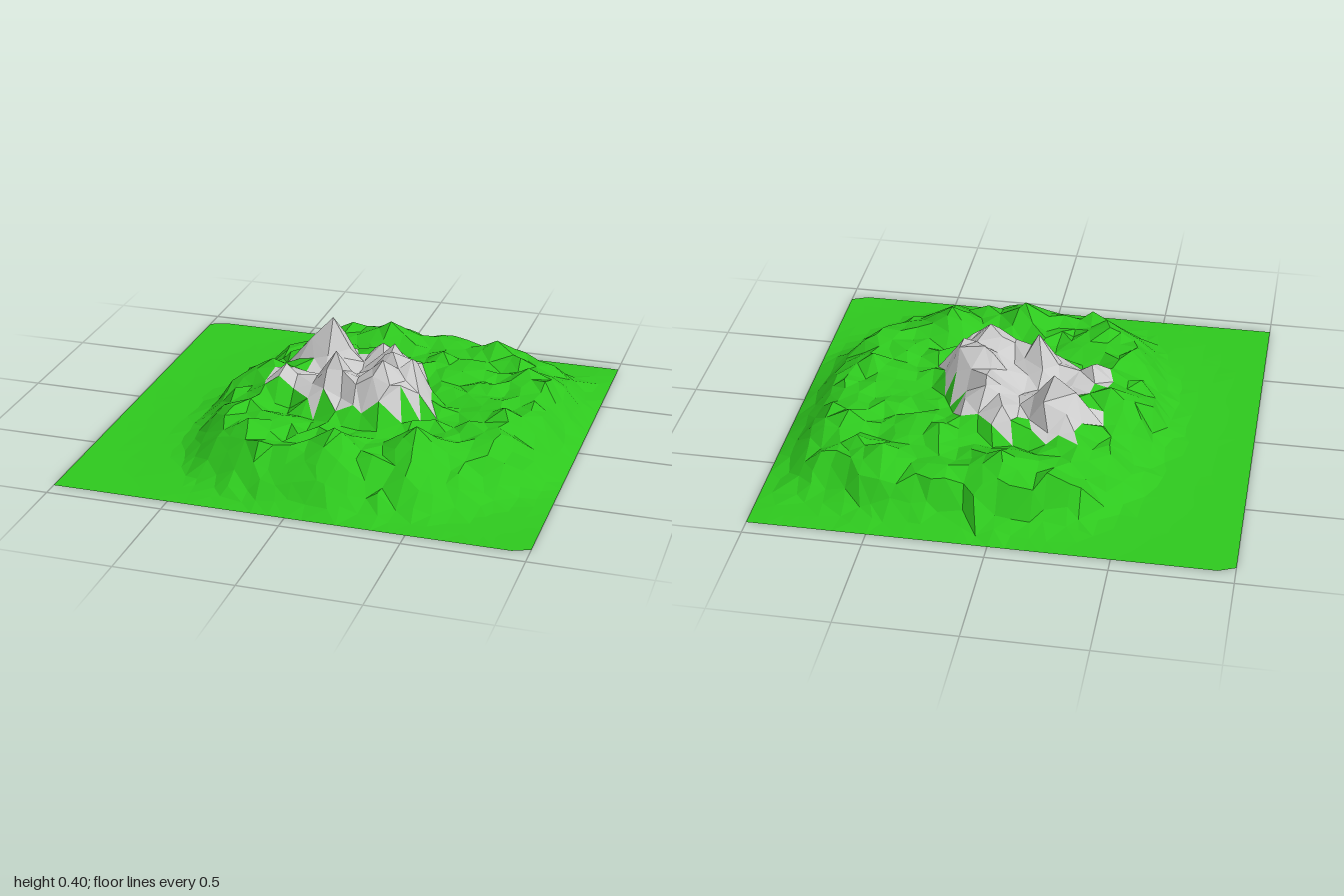
import * as THREE from 'three';

const NX = 28, NZ = 26, HALF_X = 1, HALF_Z = 0.93;

// foot of the hill, as x, z pairs
const foot = [[-0.68, 0], [-0.65, 0.4], [-0.53, 0.68], [-0.3, 0.85], [0.15, 0.92], [0.58, 0.82], [0.85, 0.56],
  [0.98, 0.3], [1, 0], [1, -0.4], [0.88, -0.74], [0.5, -0.86], [0, -0.88], [-0.38, -0.78], [-0.58, -0.5]];

// outline of the bare rock
const rock = [[-0.25, -0.4], [-0.1, -0.36], [-0.07, -0.26], [0, -0.25], [0, -0.37], [0.1, -0.37], [0.12, -0.28],
  [0.23, -0.27], [0.25, -0.15], [0.35, 0], [0.38, 0.12], [0.3, 0.22], [0.2, 0.29], [0, 0.27], [-0.16, 0.2],
  [-0.16, 0.1], [-0.32, 0.15], [-0.38, 0.05], [-0.28, -0.03], [-0.2, -0.05], [-0.23, -0.15], [-0.34, -0.18]];

// x, z, height, slope of the summits
const rockPeaks = [[-0.16, -0.23, 0.395, 1.4], [-0.04, 0.105, 0.385, 1.4], [0.18, 0.15, 0.388, 0.9],
  [0.28, 0.05, 0.365, 0.9], [0.18, 0, 0.365, 0.9], [0.14, -0.17, 0.33, 1], [-0.28, 0.06, 0.28, 0.6],
  [0.05, -0.3, 0.27, 0.6], [-0.25, -0.2, 0.3, 0.8]];
const rimPeaks = [[0.42, 0.48, 0.26, 0.7], [0.1, 0.58, 0.255, 0.7], [0, -0.6, 0.25, 0.6], [0.5, -0.59, 0.22, 0.6],
  [-0.38, -0.05, 0.245, 0.6], [0.7, 0.1, 0.215, 0.6], [0.7, -0.35, 0.21, 0.6], [-0.3, 0.5, 0.21, 0.6],
  [-0.2, -0.66, 0.2, 0.5], [0.25, -0.65, 0.2, 0.5], [0.3, -0.4, 0.22, 0.6]];

// repeatable value from -1 to 1
function noise(i, j, k) {
  const s = Math.sin(i * 127.1 + j * 311.7 + k * 74.7) * 43758.5453;
  return (s - Math.floor(s)) * 2 - 1;
}

// distance inward from an outline, negative outside
function depth(poly, x, z) {
  let best = Infinity, inside = false;
  poly.forEach(([ax, az], i) => {
    const [bx, bz] = poly[(i + 1) % poly.length];
    const dx = bx - ax, dz = bz - az;
    const t = THREE.MathUtils.clamp(((x - ax) * dx + (z - az) * dz) / (dx * dx + dz * dz), 0, 1);
    best = Math.min(best, Math.hypot(x - ax - t * dx, z - az - t * dz));
    if ((az > z) !== (bz > z) && x < ax + dx * (z - az) / dz) inside = !inside;
  });
  return inside ? best : -best;
}

// height of the ground by distance from the foot: skirt, flank, rim, hollow
const profile = [[-0.2, 0], [0, 0.01], [0.06, 0.04], [0.13, 0.1], [0.2, 0.165], [0.28, 0.17], [0.37, 0.155],
  [0.5, 0.16], [2, 0.19]];
function slope(d) {
  const k = profile.findIndex(([p]) => p > d);
  if (k === 0) return 0;
  const [d0, h0] = profile[k - 1], [d1, h1] = profile[k];
  return h0 + (h1 - h0) * (d - d0) / (d1 - d0);
}

const cones = (list, x, z) => Math.max(...list.map(([px, pz, h, s]) => h - s * Math.hypot(x - px, z - pz)));

// one jittered grid point of the landscape
function point(i, j) {
  let x = (i / NX * 2 - 1) * HALF_X, z = (j / NZ * 2 - 1) * HALF_Z;
  if (i === 0 || j === 0 || i === NX || j === NZ) {
    // the clipped corners are shallow in z
    if (i === 0 && j === 1) z = -0.9;
    if (i === NX && j === NZ - 1) z = 0.9;
    return new THREE.Vector3(x, 0, z);
  }
  // the grid point nearest a summit moves onto it
  const peak = [...rockPeaks, ...rimPeaks].find(([px, pz]) =>
    Math.abs(px - x) <= HALF_X / NX && Math.abs(pz - z) <= HALF_Z / NZ);
  if (peak) return new THREE.Vector3(peak[0], peak[2], peak[1]);

  x += noise(i, j, 1) * 0.02;
  z += noise(i, j, 2) * 0.02;
  const d = depth(foot, x, z);
  let y = slope(d);
  if (d > 0) y += noise(i, j, 3) * Math.min(0.026, d * 0.15);
  if (d > 0.1) y = Math.max(y, cones(rimPeaks, x, z));
  const r = depth(rock, x, z);
  if (r > -0.03) y = 0.2 + noise(i, j, 4) * 0.012;
  if (r > 0) y = Math.max(y, Math.min(cones(rockPeaks, x, z) + noise(i, j, 5) * 0.015, 0.21 + r * 3));
  return new THREE.Vector3(x, Math.max(0, y), z);
}

function surface(name, triangles, color) {
  const geometry = new THREE.BufferGeometry().setFromPoints(triangles.flat());
  geometry.computeVertexNormals();
  const material = new THREE.MeshStandardMaterial({ color, flatShading: true, side: THREE.DoubleSide });
  const mesh = new THREE.Mesh(geometry, material);
  mesh.name = name;
  return mesh;
}

export function createModel() {
  const grid = Array.from({ length: NX + 1 }, (_, i) => Array.from({ length: NZ + 1 }, (_, j) => point(i, j)));
  const grass = [], stone = [];
  for (let i = 0; i < NX; i++) {
    for (let j = 0; j < NZ; j++) {
      const a = grid[i][j], b = grid[i][j + 1], c = grid[i + 1][j + 1], d = grid[i + 1][j];
      const firstCorner = i + j === 0, lastCorner = i === NX - 1 && j === NZ - 1;
      // each cell folds along its shorter diagonal
      const flip = !firstCorner && !lastCorner && a.distanceTo(c) < b.distanceTo(d);
      const pair = flip ? [[a, b, c], [a, c, d]] : [[a, b, d], [b, c, d]];
      // two opposite corners of the sheet are clipped
      if (firstCorner) pair.shift();
      if (lastCorner) pair.pop();
      for (const t of pair) {
        const x = (t[0].x + t[1].x + t[2].x) / 3, z = (t[0].z + t[1].z + t[2].z) / 3;
        (depth(rock, x, z) > -0.012 ? stone : grass).push(t);
      }
    }
  }
  const group = new THREE.Group();
  group.name = 'hill';
  group.add(surface('grassland', grass, 0x2ec81e), surface('rockySummit', stone, 0xcccccc));
  return group;
}
